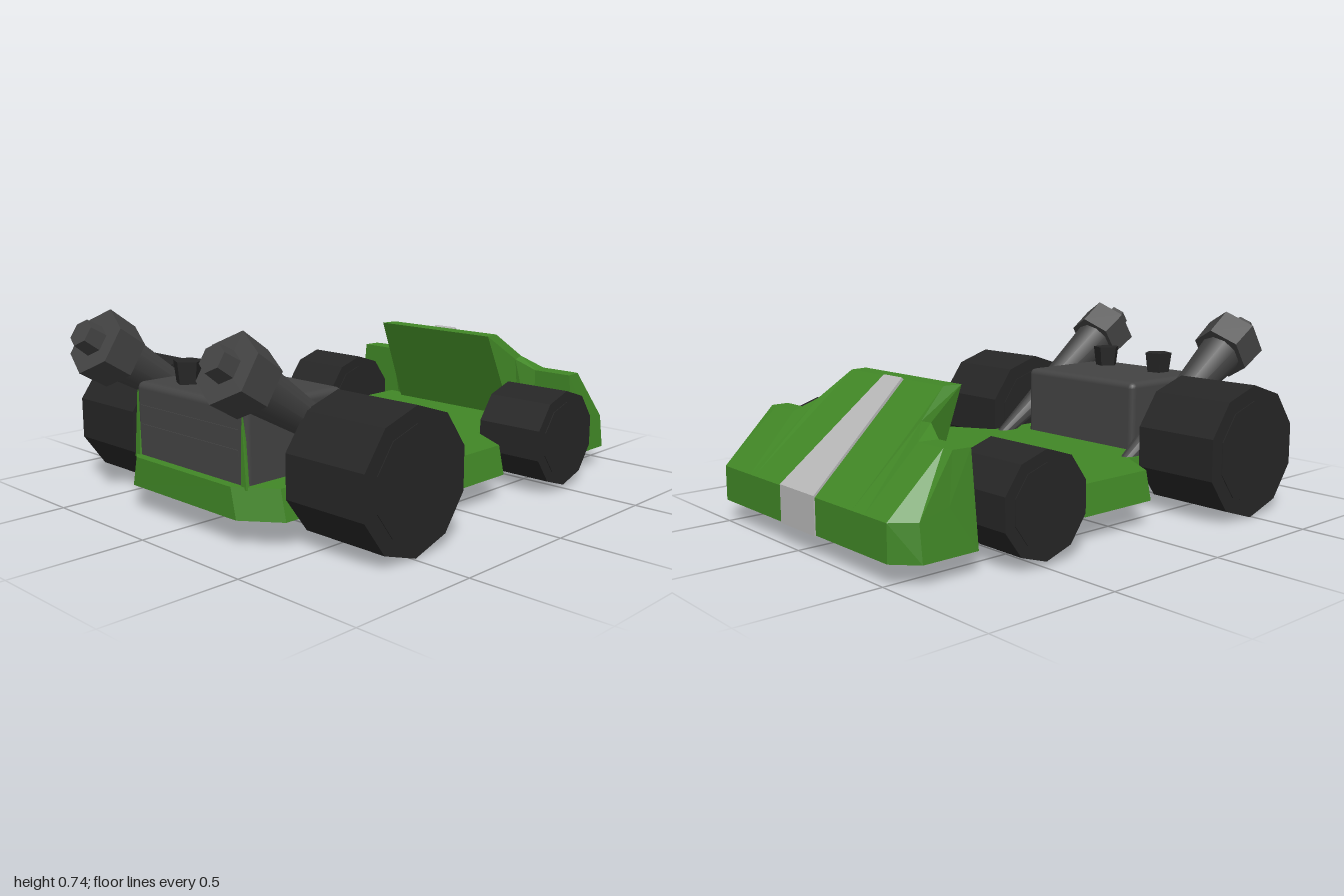
import * as THREE from 'three';
import { RoundedBoxGeometry } from 'three/addons/geometries/RoundedBoxGeometry.js';

const paint = (name, color) => {
  const m = new THREE.MeshStandardMaterial({ color });
  m.name = name;
  return m;
};

// Faceted copy of a geometry
function faceted(geo) {
  const g = geo.index ? geo.toNonIndexed() : geo;
  g.computeVertexNormals();
  return g;
}

// Joins rings of [x, y, z] points into a closed faceted solid
function loft(rings) {
  const pos = [];
  const n = rings[0].length;
  const tri = (a, b, c) => pos.push(...a, ...b, ...c);
  for (let i = 0; i < rings.length - 1; i++) {
    for (let j = 0; j < n; j++) {
      const k = (j + 1) % n, p = rings[i], q = rings[i + 1];
      tri(p[j], p[k], q[k]);
      tri(p[j], q[k], q[j]);
    }
  }
  const cap = (ring, flip) => {
    const mid = [0, 1, 2].map(a => ring.reduce((s, p) => s + p[a], 0) / n);
    ring.forEach((p, j) => {
      const q = ring[(j + 1) % n];
      if (flip) tri(mid, q, p); else tri(mid, p, q);
    });
  };
  cap(rings[0], true);
  cap(rings[rings.length - 1], false);
  // Turn the faces outward if the rings ran the other way
  let volume = 0;
  const v = i => new THREE.Vector3().fromArray(pos, i);
  for (let i = 0; i < pos.length; i += 9) volume += v(i).dot(v(i + 3).cross(v(i + 6)));
  if (volume < 0) {
    for (let i = 0; i < pos.length; i += 9) {
      for (let a = 0; a < 3; a++) [pos[i + 3 + a], pos[i + 6 + a]] = [pos[i + 6 + a], pos[i + 3 + a]];
    }
  }
  const g = new THREE.BufferGeometry();
  g.setAttribute('position', new THREE.Float32BufferAttribute(pos, 3));
  g.computeVertexNormals();
  return g;
}

export function createModel() {
  const kart = new THREE.Group();
  kart.name = 'kart';
  const green = paint('green bodywork', 0x418726);
  const rubber = paint('black rubber', 0x262626);
  const metal = paint('dark metal', 0x444444);
  const silver = paint('pale stripe', 0xb8b8b8);

  const add = (name, geo, mat, x = 0, y = 0, z = 0, parent = kart) => {
    const m = new THREE.Mesh(geo, mat);
    m.name = name;
    m.position.set(x, y, z);
    parent.add(m);
    return m;
  };

  // Floor pan, slightly narrower at the top
  const half = [[0.29, 0.83], [0.425, 0.73], [0.425, 0.22], [0.6, 0.12], [0.6, -0.22], [0.425, -0.32], [0.425, -0.72]];
  const outline = (y, inset) => [
    ...half.map(([x, z]) => [x - inset, y, z]),
    ...half.slice().reverse().map(([x, z]) => [-x + inset, y, z]),
  ];
  add('floorPan', loft([outline(0.1, 0), outline(0.21, 0.025)]), green);

  // Cowl and fenders: cross-sections from the left end to the middle, then mirrored
  // Each: front bottom, front top, back top, rear top, rear bottom
  const side = [
    [[0.6, 0.08, -0.7], [0.565, 0.41, -0.7], [0.56, 0.41, -0.77], [0.585, 0.21, -0.92], [0.6, 0.08, -0.92]],
    [[0.52, 0.08, -0.7], [0.52, 0.41, -0.7], [0.52, 0.41, -0.775], [0.52, 0.21, -0.995], [0.52, 0.08, -0.995]],
    [[0.4, 0.08, -0.7], [0.4, 0.41, -0.7], [0.39, 0.41, -0.775], [0.4, 0.21, -0.995], [0.4, 0.08, -0.995]],
    [[0.33, 0.08, -0.7], [0.32, 0.45, -0.67], [0.32, 0.46, -0.71], [0.33, 0.21, -0.995], [0.33, 0.08, -0.995]],
    [[0.3, 0.08, -0.7], [0.29, 0.56, -0.515], [0.28, 0.56, -0.585], [0.3, 0.21, -0.995], [0.3, 0.08, -0.995]],
  ];
  const mirrored = side.slice().reverse().map(r => r.map(([x, y, z]) => [-x, y, z]));
  add('cowl', loft([...side, ...mirrored]), green);

  // Tapered stripe over the cowl and down its end
  const stripe = (lift) => [[0.055, 0.56, -0.59], [0.11, 0.21, -0.995], [0.11, 0.078, -0.995]]
    .map(([x, y, z], i) => [x, y + (i < 2 ? lift : 0), z - lift * 0.8]);
  const across = stripe(0.006).map((p, i) => {
    const b = stripe(-0.002)[i];
    return [p, [-p[0], p[1], p[2]], [-b[0], b[1], b[2]], b];
  });
  add('stripe', loft(across), silver);

  // Engine block with front grooves and top caps
  add('engine', new RoundedBoxGeometry(0.61, 0.31, 0.455, 2, 0.025), metal, 0, 0.325, 0.567);
  for (const y of [0.315, 0.385]) {
    add('engineSlot', new THREE.BoxGeometry(0.54, 0.025, 0.006), metal, 0, y, 0.795);
  }
  for (const [x, turn] of [[-0.14, 0.2], [0.16, 0.9]]) {
    const cap = add('engineCap', faceted(new THREE.CylinderGeometry(0.058, 0.045, 0.1, 5)), rubber, x, 0.512, 0.68);
    cap.rotation.y = turn;
  }

  // Ten-sided wheels with a raised face
  const wheel = (name, r, width, x, z) => {
    const g = new THREE.Group();
    g.name = name;
    g.position.set(x, name === 'frontWheel' ? 0.257 : 0.208, z);
    const drum = (rad, w) => faceted(new THREE.CylinderGeometry(rad, rad, w, 10).rotateY(Math.PI / 2).rotateZ(Math.PI / 2));
    add('tyre', drum(r, width), rubber, 0, 0, 0, g);
    add('wheelFace', drum(r * 0.77, width + 0.006), rubber, 0, 0, 0, g);
    kart.add(g);
  };

  for (const s of [-1, 1]) {
    wheel('frontWheel', 0.253, 0.35, s * 0.6, 0.49);
    wheel('rearWheel', 0.187, 0.275, s * 0.5525, -0.49);

    // Exhaust: tapered pipe, hexagonal nozzle and tip along one tilted axis
    const exhaust = new THREE.Group();
    exhaust.name = 'exhaust';
    exhaust.position.set(s * 0.365, 0.07, 0.05);
    exhaust.rotation.x = THREE.MathUtils.degToRad(57);
    add('pipe', new THREE.CylinderGeometry(0.092, 0.003, 0.94, 10), metal, 0, 0.47, 0, exhaust);
    add('nozzle', faceted(new THREE.CylinderGeometry(0.128, 0.122, 0.125, 6)), metal, 0, 0.97, 0, exhaust);
    add('nozzleTip', faceted(new THREE.CylinderGeometry(0.052, 0.06, 0.09, 6)), metal, 0, 1.055, 0, exhaust);
    kart.add(exhaust);

    // Small bracket at the engine's front corner
    add('engineBracket', loft([
      [[s * 0.28, 0.2, 0.79], [s * 0.315, 0.2, 0.79], [s * 0.29, 0.45, 0.785]],
      [[s * 0.285, 0.2, 0.802], [s * 0.312, 0.2, 0.802], [s * 0.29, 0.45, 0.798]],
    ]), green);
  }
  return kart;
}
